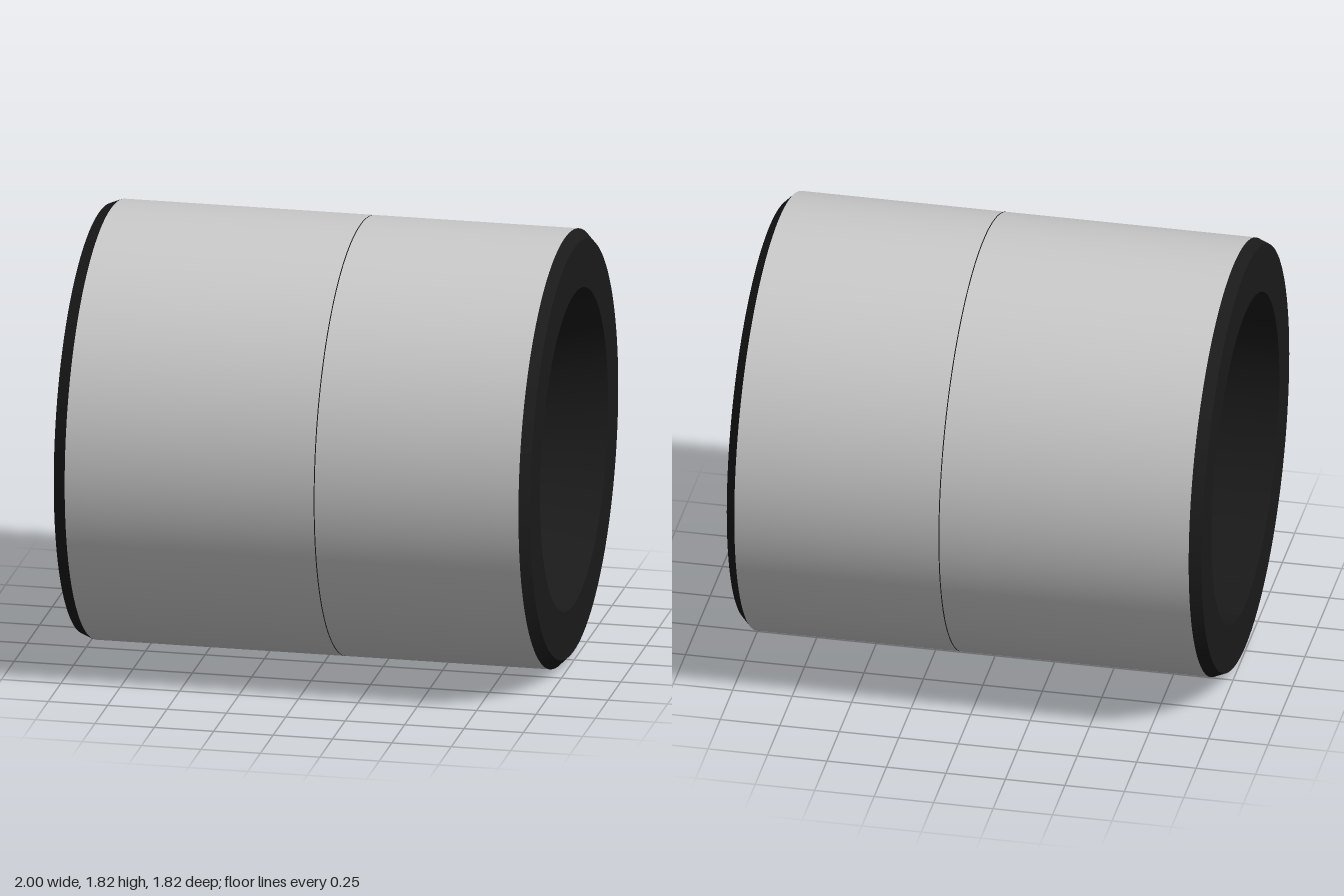
import * as THREE from 'three';
import { toCreasedNormals } from 'three/addons/utils/BufferGeometryUtils.js';

const R = 0.91; // outer radius

// Revolve [radius, x] points around the x axis, keeping the profile corners sharp
function revolve(name, points, material) {
  const profile = points.map(([r, x]) => new THREE.Vector2(r, x));
  const lathe = new THREE.LatheGeometry(profile, 128);
  lathe.rotateZ(-Math.PI / 2);
  const mesh = new THREE.Mesh(toCreasedNormals(lathe, 0.2), material);
  mesh.name = name;
  mesh.position.y = R;
  return mesh;
}

export function createModel() {
  const group = new THREE.Group();
  group.name = 'bushing';
  const grey = new THREE.MeshStandardMaterial({ color: 0xcccccc });
  const dark = new THREE.MeshStandardMaterial({ color: 0x1a1a1a });

  // Smooth outer sleeve in two halves, meeting at a fine seam
  group.add(revolve('rearSleeve', [[R, -0.95], [R, 0.098]], grey));
  group.add(revolve('frontSleeve', [[R, 0.102], [R, 0.96]], grey));
  group.add(revolve('seam', [[R, 0.098], [R - 0.003, 0.1], [R, 0.102]], dark));

  // Dark core: chamfered ends, tapered mouth, narrow throat and wide bore
  group.add(revolve('core', [
    [R, 0.96], [0.87, 1], [0.67, 1],
    [0.545, 0.65], [0.545, 0.55],
    [0.69, 0.55], [0.69, -1],
    [0.89, -1], [R, -0.95],
  ], dark));

  return group;
}
